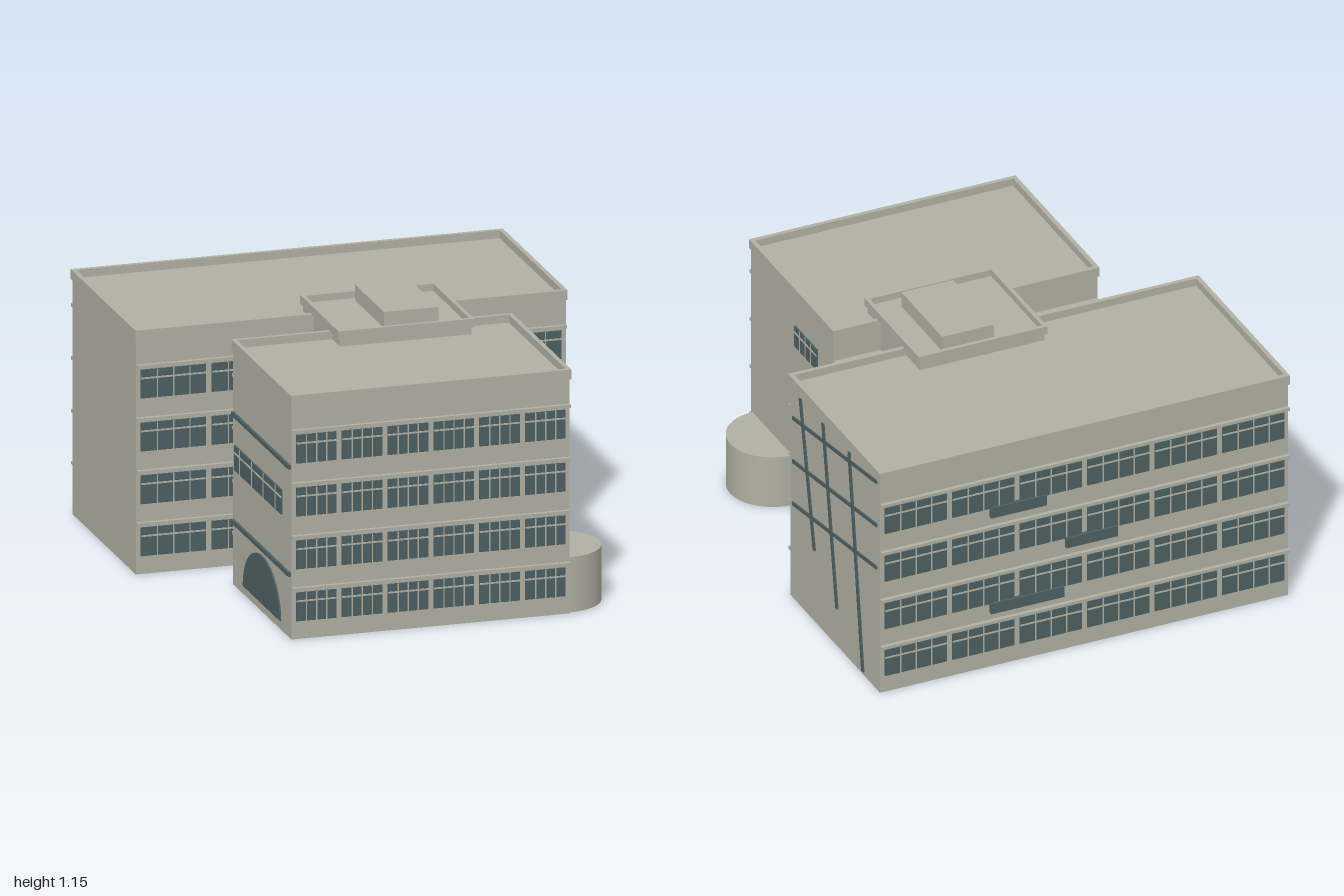
import * as THREE from 'three';

const mat = (name, color, side = THREE.FrontSide) => {
  const m = new THREE.MeshStandardMaterial({ color, side });
  m.name = name;
  return m;
};

export function createModel() {
  const model = new THREE.Group();
  model.name = 'officeBuilding';
  const concrete = mat('concrete', 0xb0afa2);
  const glass = mat('darkGlass', 0x4d6062);

  const add = (parent, name, geometry, material) => {
    const mesh = new THREE.Mesh(geometry, material);
    mesh.name = name;
    parent.add(mesh);
    return mesh;
  };
  // Box given by its lower and upper corners
  const box = (parent, name, material, x0, x1, y0, y1, z0, z1) => {
    const mesh = add(parent, name, new THREE.BoxGeometry(x1 - x0, y1 - y0, z1 - z0), material);
    mesh.position.set((x0 + x1) / 2, (y0 + y1) / 2, (z0 + z1) / 2);
    return mesh;
  };
  // Hollow rectangular rim around a roof
  const rim = (parent, name, x0, x1, y0, y1, z0, z1, t) => {
    const rect = (P, a, b, c, d) => {
      const p = new P();
      p.moveTo(a, c); p.lineTo(b, c); p.lineTo(b, d); p.lineTo(a, d); p.closePath();
      return p;
    };
    const shape = rect(THREE.Shape, x0, x1, -z1, -z0);
    shape.holes.push(rect(THREE.Path, x0 + t, x1 - t, -z1 + t, -z0 - t));
    const g = new THREE.ExtrudeGeometry(shape, { depth: y1 - y0, bevelEnabled: false });
    g.rotateX(-Math.PI / 2);
    add(parent, name, g, concrete).position.y = y0;
  };
  // Window facing local +z: glass, upright bars and a rail near the top
  const makeWindow = (w, h, panes) => {
    const g = new THREE.Group();
    g.name = 'window';
    box(g, 'pane', glass, -w / 2, w / 2, 0, h, -0.002, 0.007);
    for (let i = 1; i < panes; i++) {
      const x = -w / 2 + (w * i) / panes;
      box(g, 'mullion', concrete, x - 0.0025, x + 0.0025, 0, h, 0.004, 0.01);
    }
    box(g, 'transom', concrete, -w / 2, w / 2, h * 0.68, h * 0.68 + 0.007, 0.004, 0.01);
    return g;
  };

  const sills = [0.08, 0.31, 0.543, 0.777];
  const conn = { x0: -0.165, x1: 0.41 };

  // A block: walls, roof rim, and on both long faces ledges and rows of windows
  const makeBlock = (name, x0, x1, z0, z1, winWidth, innerSign) => {
    const b = new THREE.Group();
    b.name = name;
    model.add(b);
    box(b, 'walls', concrete, x0, x1, 0, 1.045, z0, z1);
    rim(b, 'parapet', x0 - 0.005, x1 + 0.005, 1.037, 1.08, z0 - 0.01, z1 + 0.01, 0.02);
    const pitch = (x1 - x0 - 0.015) / 6;
    for (const s of [-1, 1]) {
      const z = s > 0 ? z1 : z0;
      for (const y of sills) {
        box(b, 'ledge', concrete, x0, x1, y + 0.136, y + 0.15, z - 0.018, z + 0.018);
        for (let i = 0; i < 6; i++) {
          const x = x0 + 0.0075 + pitch * (i + 0.5);
          const hidden = s === innerSign && x - winWidth / 2 > conn.x0 && x + winWidth / 2 < conn.x1;
          if (hidden) continue;
          const w = makeWindow(winWidth, 0.126, 4);
          w.position.set(x, y, z);
          if (s < 0) w.rotation.y = Math.PI;
          b.add(w);
        }
      }
    }
    return b;
  };
  const rear = makeBlock('rearBlock', -0.95, 0.95, -0.982, -0.09, 0.288, 1);
  const front = makeBlock('frontBlock', -0.6, 0.63, 0.165, 0.982, 0.178, -1);

  // Connecting tower with its tray roof and plant room
  const link = new THREE.Group();
  link.name = 'connector';
  model.add(link);
  box(link, 'linkWalls', concrete, conn.x0, conn.x1, 0, 1.08, -0.1, 0.175);
  box(link, 'linkRoof', concrete, -0.165, 0.415, 1.04, 1.085, -0.235, 0.285);
  rim(link, 'linkParapet', -0.175, 0.425, 1.078, 1.116, -0.245, 0.295, 0.018);
  box(link, 'plantRoom', concrete, 0.052, 0.292, 1.08, 1.155, -0.195, 0.21);

  // Half-round porch on the left side
  const porch = add(front, 'roundPorch',
    new THREE.CylinderGeometry(0.197, 0.197, 0.243, 18, 1, false, 0, Math.PI), concrete.clone());
  porch.material = concrete;
  porch.position.set(0.63, 0.1215, 0.772);

  // Small windows on the left side of the front block
  for (const y of [0.1, 0.33, 0.565, 0.8]) {
    const w = makeWindow(0.22, 0.1, 4);
    w.rotation.y = Math.PI / 2;
    w.position.set(0.63, y, 0.43);
    front.add(w);
  }

  // Right side of the front block: dark bands, window strip and arch
  for (const y of [0.75, 0.275]) {
    box(front, 'darkBand', glass, -0.612, -0.598, y, y + 0.018, 0.175, 0.975);
  }
  for (let i = 0; i < 4; i++) {
    const w = makeWindow(0.16, 0.11, 2);
    w.rotation.y = -Math.PI / 2;
    w.position.set(-0.6, 0.515, 0.28 + i * 0.166);
    front.add(w);
  }
  const arch = new THREE.Shape();
  arch.moveTo(-0.26, 0);
  arch.lineTo(0.26, 0);
  arch.absellipse(0, 0, 0.26, 0.21, 0, Math.PI, false);
  const archMesh = add(front, 'archWindow',
    new THREE.ExtrudeGeometry(arch, { depth: 0.008, bevelEnabled: false, curveSegments: 20 }), glass);
  archMesh.rotation.y = -Math.PI / 2;
  archMesh.position.set(-0.599, 0.04, 0.58);

  // Slanted lattice on the left side of the rear block: z, y to z, y
  const bars = [
    [-0.12, 0.885, -0.955, 1.02], [-0.12, 0.673, -0.955, 0.808], [-0.12, 0.465, -0.955, 0.6],
    [-0.195, 1.02, -0.335, 0.35], [-0.42, 1.02, -0.56, 0.185], [-0.68, 1.02, -0.817, 0.015],
  ];
  bars.forEach(([za, ya, zb, yb], i) => {
    const len = Math.hypot(zb - za, yb - ya);
    const bar = add(rear, 'latticeBar',
      new THREE.BoxGeometry(0.008, i < 3 ? 0.017 : 0.022, len), glass);
    bar.position.set(0.952, (ya + yb) / 2, (za + zb) / 2);
    bar.rotation.x = Math.atan2(yb - ya, za - zb);
  });

  // Dark balcony panels on the rear face: centre x, y, width
  for (const [x, y, w] of [[0.31, 0.735, 0.26], [-0.03, 0.5, 0.24], [0.27, 0.265, 0.34]]) {
    box(rear, 'balconyPanel', glass, x - w / 2, x + w / 2, y, y + 0.05, -1, -0.98);
  }

  return model;
}
